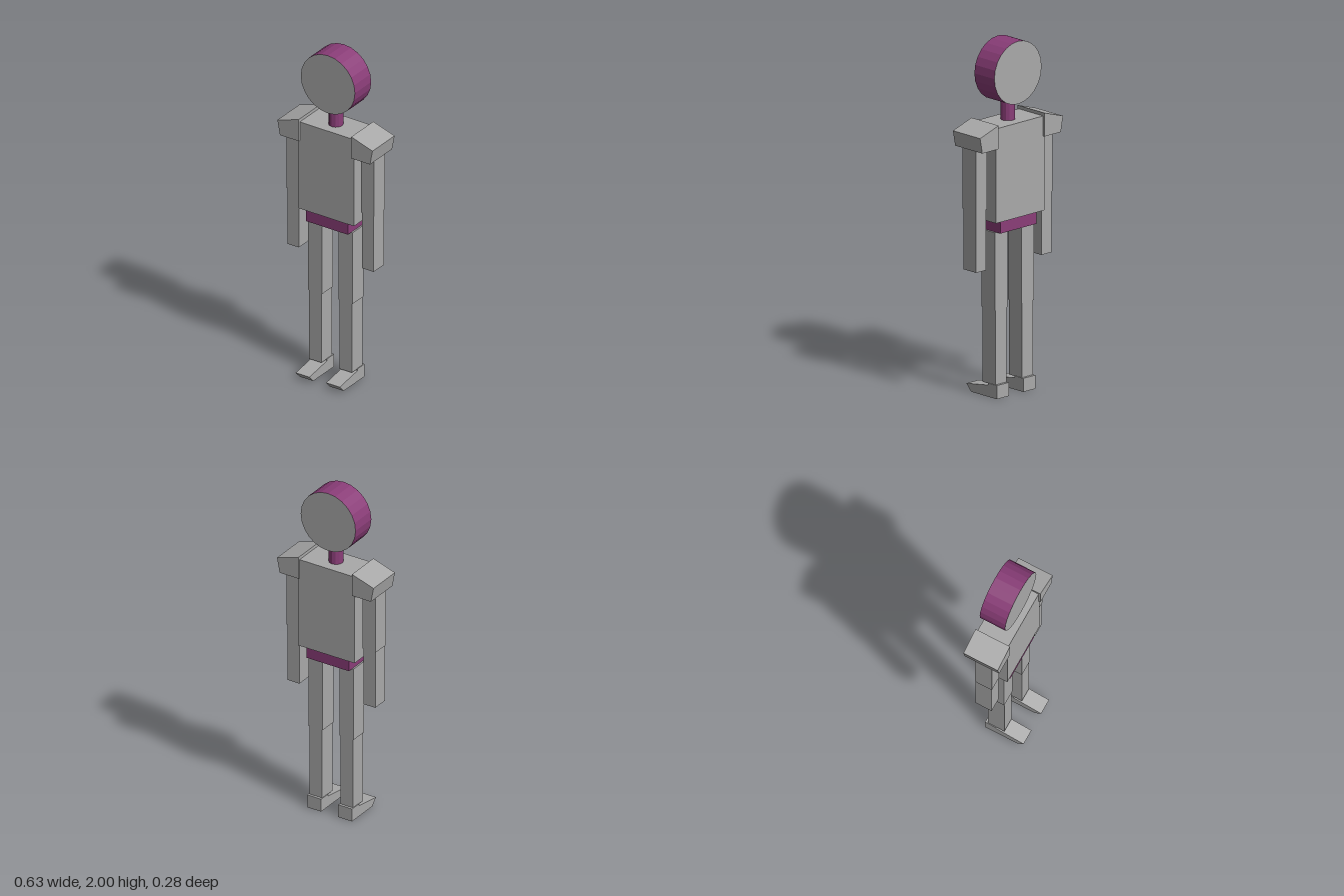
import * as THREE from 'three';

export function createModel() {
  const root = new THREE.Group();
  root.name = 'jointedFigure';

  const grey = new THREE.MeshStandardMaterial({ color: 0xa9a9a9 });
  grey.name = 'grey';
  const purple = new THREE.MeshStandardMaterial({ color: 0x8a3d78 });
  purple.name = 'purple';
  grey.flatShading = purple.flatShading = true;

  const add = (parent, name, geometry, material) => {
    const mesh = new THREE.Mesh(geometry, material);
    mesh.name = name;
    parent.add(mesh);
    return mesh;
  };

  // Box given by its limits on each axis
  const box = (parent, name, material, [x0, x1], [y0, y1], [z0, z1]) =>
    add(parent, name, new THREE.BoxGeometry(x1 - x0, y1 - y0, z1 - z0)
      .translate((x0 + x1) / 2, (y0 + y1) / 2, (z0 + z1) / 2), material);

  // Flat outline extruded along +z
  const prism = (points, depth) => new THREE.ExtrudeGeometry(
    new THREE.Shape(points.map(([x, y]) => new THREE.Vector2(x, y))),
    { depth, bevelEnabled: false });

  // Head: a drum with grey faces and a purple rim
  add(root, 'head', new THREE.CylinderGeometry(0.178, 0.178, 0.156, 24)
    .rotateX(Math.PI / 2).translate(0, 1.822, -0.035), [purple, grey, grey]);
  add(root, 'neck', new THREE.CylinderGeometry(0.041, 0.041, 0.13, 12)
    .translate(0, 1.6, -0.034), purple);

  // Body
  box(root, 'torso', grey, [-0.183, 0.183], [1.01, 1.545], [-0.131, 0.06]);
  box(root, 'pelvis', purple, [-0.137, 0.137], [0.94, 1.01], [-0.117, 0.052]);

  // Limbs, mirrored by sign
  for (const side of [-1, 1]) {
    const label = side > 0 ? 'left' : 'right';
    const span = (a, b) => (side > 0 ? [a, b] : [-b, -a]);

    const arm = new THREE.Group();
    arm.name = label + 'Arm';
    const outline = [[0.173, 1.431], [0.296, 1.431], [0.313, 1.519], [0.173, 1.564]];
    add(arm, label + 'Shoulder', prism(outline.map(([x, y]) => [x * side, y]), 0.212)
      .translate(0, 0, -0.141), grey);
    box(arm, label + 'UpperArm', grey, span(0.204, 0.288), [1.085, 1.431], [-0.083, 0.021]);
    box(arm, label + 'Forearm', grey, span(0.208, 0.284), [0.74, 1.085], [-0.08, 0.018]);
    root.add(arm);

    const leg = new THREE.Group();
    leg.name = label + 'Leg';
    box(leg, label + 'Thigh', grey, span(0.054, 0.146), [0.5, 0.94], [-0.085, 0.021]);
    box(leg, label + 'Shin', grey, span(0.059, 0.141), [0.074, 0.5], [-0.083, 0.019]);

    // Foot side outline as (z, y), turned so it is extruded across x
    const foot = prism([[-0.098, 0], [0.103, 0], [0.14, 0.04], [-0.03, 0.066],
      [-0.03, 0.077], [-0.098, 0.077]], 0.09);
    foot.rotateY(-Math.PI / 2).translate(side * 0.1 + 0.045, 0, 0);
    add(leg, label + 'Foot', foot, grey);
    root.add(leg);
  }

  return root;
}
